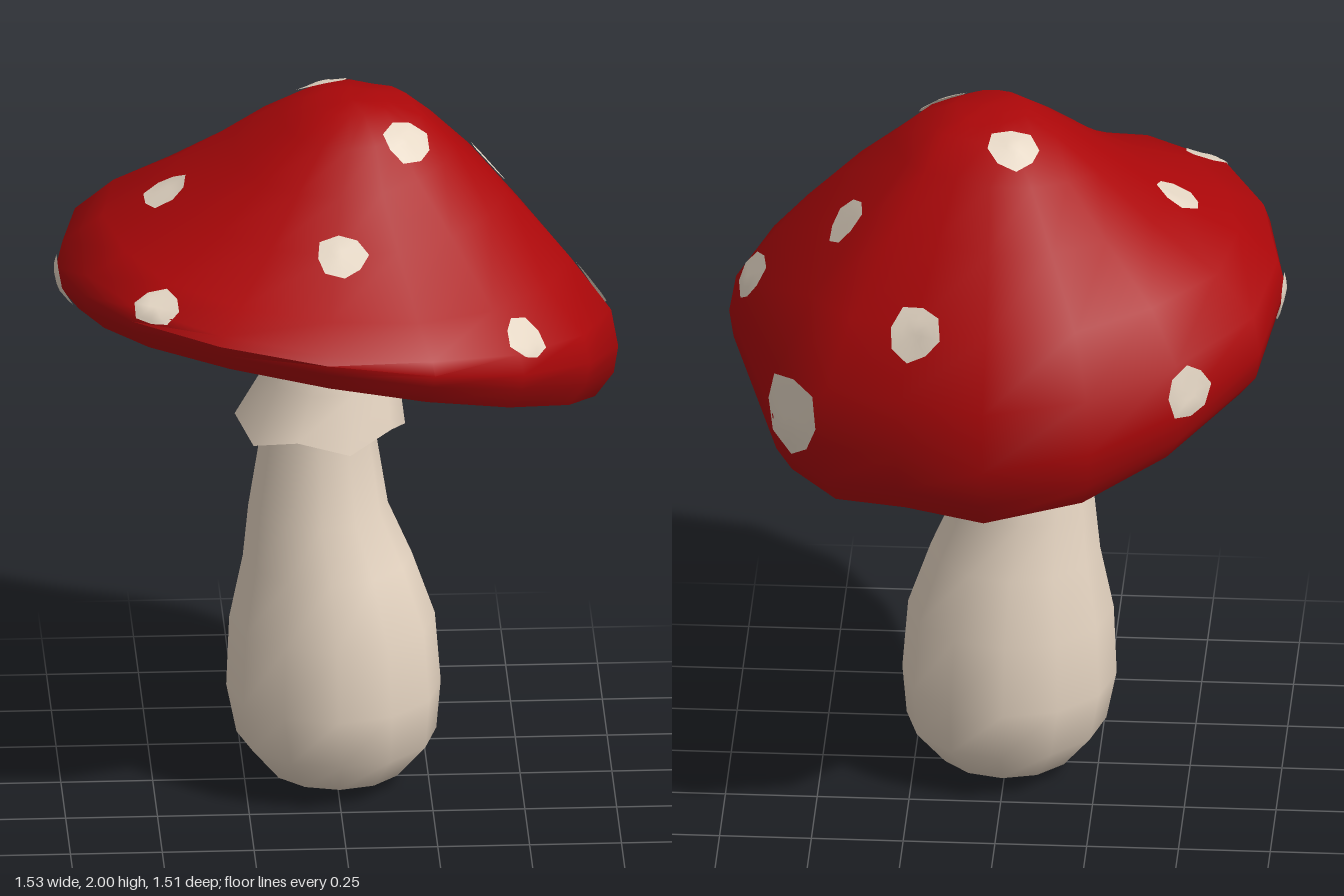
import * as THREE from 'three';
import { mergeVertices, toCreasedNormals } from 'three/addons/utils/BufferGeometryUtils.js';

const flat = (name, color, side = THREE.FrontSide) => {
  const m = new THREE.MeshStandardMaterial({ color, side });
  m.name = name;
  return m;
};

// Skin a stack of closed rings (arrays of [x, y, z]), listed from bottom to top
function loft(rings) {
  const n = rings[0].length, index = [];
  for (let i = 0; i < rings.length - 1; i++) {
    for (let j = 0; j < n; j++) {
      const a = i * n + j, b = i * n + (j + 1) % n;
      index.push(a, a + n, b, b, a + n, b + n);
    }
  }
  const g = new THREE.BufferGeometry();
  g.setAttribute('position', new THREE.Float32BufferAttribute(rings.flat(2), 3));
  g.setIndex(index);
  const merged = mergeVertices(g);
  merged.computeVertexNormals();
  return merged;
}

// Uneven rim of the cap seen from above: [x, z]
const OUTLINE = [
  [0.76, 0.1], [0.67, 0.35], [0.48, 0.58], [0.23, 0.72], [-0.06, 0.75], [-0.35, 0.67],
  [-0.58, 0.49], [-0.7, 0.25], [-0.76, -0.05], [-0.71, -0.35], [-0.51, -0.58],
  [-0.27, -0.73], [0.02, -0.76], [0.26, -0.64], [0.47, -0.56], [0.61, -0.4],
];

// Ring of the cap: scaled outline, leaning sideways and front to back
function capRing([radius, height, leanX, leanZ, shift = 0]) {
  return OUTLINE.map(([ox, oz]) => {
    const x = ox * radius / 0.755, z = oz * radius / 0.755;
    return [x + shift, height + leanX * x + leanZ * z, z];
  });
}

// Round ring for stem and skirt
function roundRing(cx, y, r, n, wave = 0) {
  return Array.from({ length: n }, (_, i) => {
    const a = (i / n) * Math.PI * 2;
    return [cx + r * Math.cos(a), y + (i % 2 ? wave : -wave), r * Math.sin(a)];
  });
}

// Spot: a thin disc draped over the cap around the given point
function spotGeometry(cap, point, radius, seed) {
  const ray = new THREE.Raycaster();
  const core = new THREE.Vector3(0, 1.35, 0);
  // Cap surface where the line from p to the core meets it
  const project = (p) => {
    const inward = core.clone().sub(p).normalize();
    ray.set(p.clone().addScaledVector(inward, -0.5), inward);
    return ray.intersectObject(cap)[0];
  };
  const hit = project(new THREE.Vector3(...point));
  const normal = hit.face.normal.clone();
  const u = new THREE.Vector3(0, 1, 0).cross(normal).normalize();
  const v = normal.clone().cross(u);
  const drape = (r, a) => {
    const h = project(hit.point.clone()
      .addScaledVector(u, r * Math.cos(a)).addScaledVector(v, r * Math.sin(a)));
    return h.point.addScaledVector(h.face.normal, 0.007).toArray();
  };
  const sides = 8;
  const ring = (f) => Array.from({ length: sides }, (_, i) => {
    const wobble = 1 + 0.09 * Math.sin(i * 2.4 + seed * 1.7);
    return drape(radius * f * wobble, (i / sides) * Math.PI * 2);
  });
  // Reversed so that the skin faces outward
  return loft([1, 0.8, 0.55, 0.28, 0].map((f) => ring(f).reverse()));
}

export function createModel() {
  const group = new THREE.Group();
  group.name = 'mushroom';
  const red = flat('cap red', 0xab0709);
  const cream = flat('stem cream', 0xe6d5c2, THREE.DoubleSide);
  const spotCream = flat('spot cream', 0xe4d6c4, THREE.DoubleSide);
  const olive = flat('gill olive', 0xdcd5b0, THREE.DoubleSide);
  const add = (name, geometry, material, parent = group) => {
    const m = new THREE.Mesh(geometry, material);
    m.name = name;
    parent.add(m);
    return m;
  };

  // Stem: bulbous foot, narrowing and bending slightly to one side
  const stem = [
    [0, 0, 0], [0, 0.04, 0.187], [0, 0.14, 0.272], [-0.008, 0.28, 0.292],
    [-0.012, 0.48, 0.28], [-0.025, 0.66, 0.23], [-0.05, 0.81, 0.19],
    [-0.05, 1.05, 0.152], [-0.03, 1.38, 0.125],
  ];
  add('stem', loft(stem.map(([x, y, r]) => roundRing(x, y, r, 12))), cream);

  // Skirt: flared collar with a ragged hem
  const skirt = [
    [-0.045, 1.06, 0.232, 0.02], [-0.02, 1.2, 0.187, 0],
    [-0.01, 1.32, 0.155, 0], [-0.01, 1.37, 0.13, 0],
  ];
  add('skirt', loft(skirt.map(([x, y, r, w]) => roundRing(x, y, r, 10, w))), cream);

  // Cap: inner lip, rim, then the dome; the tilt fades towards the top
  const capRings = [
    [0.65, 1.3, -0.21, 0.28], [0.695, 1.258, -0.19, 0.25], [0.745, 1.325, -0.17, 0.225],
    [0.757, 1.395, -0.15, 0.17], [0.738, 1.49, -0.125, 0.08], [0.63, 1.605, -0.08, 0.0],
    [0.45, 1.75, 0, -0.05, 0.01], [0.3, 1.87, 0.04, -0.11, 0.02],
    [0.19, 1.955, 0.04, -0.12, 0.04], [0.1, 1.995, 0, 0, 0.04], [0, 2, 0, 0, 0.04],
  ];
  const cap = add('cap', toCreasedNormals(loft(capRings.map(capRing)), 1.0), red);

  // Gills: shallow faceted disc closing the underside
  const gillRings = [[0, 1.32, -0.21, 0.28], [0.16, 1.32, -0.21, 0.28], [0.655, 1.3, -0.21, 0.28]];
  const gills = loft(gillRings.map(capRing)).toNonIndexed();
  gills.computeVertexNormals();
  add('gills', gills, olive);

  // Spots: point on the cap and radius
  const spots = [
    [[-0.03, 1.96, -0.19], 0.072], [[0.19, 1.95, 0.145], 0.07], [[-0.47, 1.74, 0], 0.068],
    [[0.44, 1.74, -0.19], 0.07], [[0.23, 1.59, -0.59], 0.078], [[-0.51, 1.42, -0.53], 0.075],
    [[-0.75, 1.47, -0.05], 0.068], [[0.71, 1.45, 0.02], 0.07], [[-0.01, 1.74, 0.47], 0.07],
    [[-0.51, 1.6, 0.49], 0.07], [[0.5, 1.5, 0.52], 0.068], [[0.57, 1.27, -0.47], 0.115],
  ];
  const spotGroup = new THREE.Group();
  spotGroup.name = 'spots';
  group.add(spotGroup);
  cap.updateMatrixWorld();
  spots.forEach(([p, r], i) => add('spot', spotGeometry(cap, p, r, i), spotCream, spotGroup));

  return group;
}
